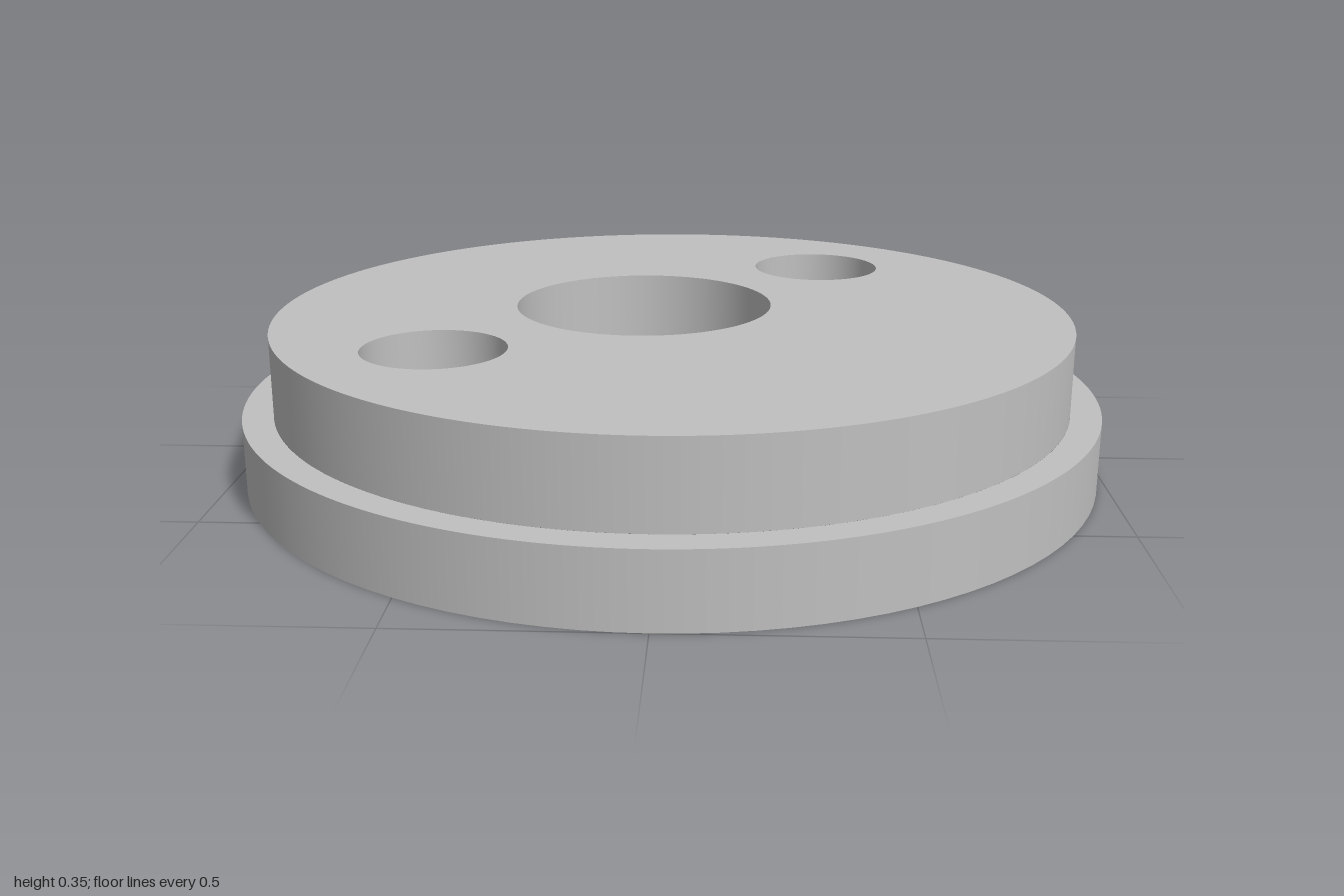
import * as THREE from 'three';

const SEGMENTS = 96;
const BASE_R = 1, TOP_R = 0.93, STEP_Y = 0.165, TOP_Y = 0.355;
const HOLES = [
  { name: 'centreBore', x: -0.07, z: -0.07, r: 0.305 },
  { name: 'rightPinHole', x: -0.5, z: 0.363, r: 0.16 },
  { name: 'leftPinHole', x: 0.363, z: -0.5, r: 0.16 },
];

export function createModel() {
  const group = new THREE.Group();
  group.name = 'steppedFlange';
  const metal = new THREE.MeshStandardMaterial({ color: 0xc0c0c0 });
  metal.name = 'light grey metal';

  const add = (name, geometry, x = 0, y = 0, z = 0) => {
    const mesh = new THREE.Mesh(geometry, metal);
    mesh.name = name;
    mesh.position.set(x, y, z);
    group.add(mesh);
  };

  // Smooth round wall: faces outward when it runs up, inward when it runs down
  const wall = (r, from, to) => new THREE.LatheGeometry(
    [new THREE.Vector2(r, from), new THREE.Vector2(r, to)], SEGMENTS);

  // Flat disc with the holes cut out, facing up (dir = 1) or down (dir = -1)
  const face = (r, dir, holes) => {
    const shape = new THREE.Shape().absarc(0, 0, r, 0, Math.PI * 2);
    for (const h of holes) {
      shape.holes.push(new THREE.Path().absarc(h.x, -dir * h.z, h.r, 0, Math.PI * 2, true));
    }
    return new THREE.ShapeGeometry(shape, SEGMENTS).rotateX(-dir * Math.PI / 2);
  };

  // Wide base, narrower raised disc and the ledge between them
  add('baseRim', wall(BASE_R, 0, STEP_Y));
  add('raisedRim', wall(TOP_R, STEP_Y, TOP_Y));
  add('ledge', face(BASE_R, 1, [{ x: 0, z: 0, r: TOP_R }]), 0, STEP_Y);
  add('topFace', face(TOP_R, 1, HOLES), 0, TOP_Y);
  add('bottomFace', face(BASE_R, -1, HOLES));

  // Walls of the through holes
  for (const h of HOLES) add(h.name, wall(h.r, TOP_Y, 0), h.x, 0, h.z);

  return group;
}
